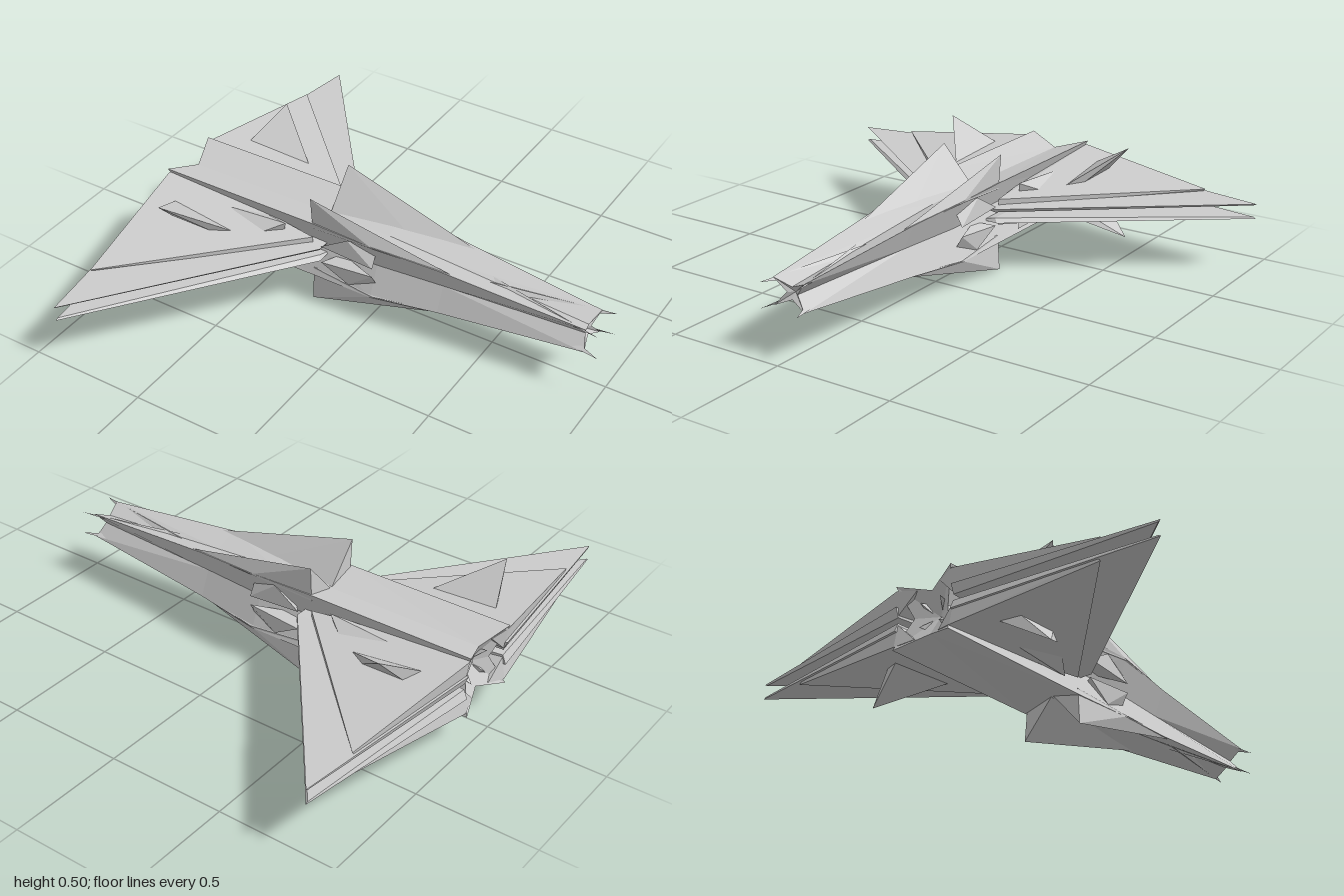
import * as THREE from 'three';
import { ConvexGeometry } from 'three/addons/geometries/ConvexGeometry.js';

const material = new THREE.MeshStandardMaterial({ color: 0xcccccc, flatShading: true, side: THREE.DoubleSide });

// Hull with a four-pointed star section, notched at both ends
function hullGeometry() {
  // x, tip half width, tip half height, roof valley height, side valley half width
  const stations = [
    [-0.99, 0.14, 0.131, 0.09, 0.085],
    [-0.27, 0.14, 0.131, 0.095, 0.09],
    [0.01, 0.145, 0.128, 0.09, 0.09],
    [0.3, 0.11, 0.105, 0.07, 0.065],
    [0.92, 0.07, 0.055, 0.025, 0.025],
  ];
  const rings = stations.map(([x, w, h, roof, side]) => [
    [x, roof, 0], [x, h, w], [x, 0, side], [x, -h, w],
    [x, -roof, 0], [x, -h, -w], [x, 0, -side], [x, h, -w],
  ]);
  // Pull the valley points inwards at the tail and nose so the corners become prongs
  for (let i = 0; i < 8; i += 2) {
    rings[0][i][0] = -0.94;
    rings[4][i][0] = 0.9;
  }
  const out = [];
  const tri = (a, b, c) => out.push(...a, ...b, ...c);
  for (let s = 0; s < 4; s++) {
    for (let i = 0; i < 8; i++) {
      const j = (i + 1) % 8;
      const [a, b, c, d] = [rings[s][i], rings[s][j], rings[s + 1][j], rings[s + 1][i]];
      // Split each quad along the ridge side alternately to keep mirror symmetry
      if (i % 2) { tri(a, b, d); tri(b, c, d); } else { tri(a, b, c); tri(a, c, d); }
    }
  }
  for (let i = 0; i < 8; i++) {
    const j = (i + 1) % 8;
    tri(rings[0][j], rings[0][i], [-0.89, 0, 0]);
    tri(rings[4][i], rings[4][j], [0.88, 0, 0]);
  }
  const g = new THREE.BufferGeometry();
  g.setAttribute('position', new THREE.Float32BufferAttribute(out, 3));
  g.computeVertexNormals();
  return g;
}

// Faceted parts of the upper left quarter, as corner points about the hull axis
const quarterParts = {
  wingBlade: [
    [-0.88, 0.032, 1], [-0.22, 0.03, 0.155], [-0.985, 0.05, 0.14], [-0.22, 0.028, 0.07],
    [-0.88, 0.025, 0.99], [-0.23, 0.012, 0.14], [-0.97, 0.012, 0.14],
  ],
  wingThickRoot: [
    [-0.985, 0.115, 0.14], [-0.27, 0.055, 0.13], [-0.9, 0.047, 0.76],
    [-0.97, 0.02, 0.14], [-0.27, 0.02, 0.13], [-0.9, 0.025, 0.74], [-0.96, 0.1, 0.06],
  ],
  winglet: [
    [-0.79, 0.2, 0.45], [-0.86, 0.09, 0.26], [-0.54, 0.05, 0.26],
    [-0.84, 0.04, 0.3], [-0.6, 0.03, 0.29],
  ],
  dorsalFin: [
    [-0.27, 0.25, 0.14], [-0.27, 0.09, 0], [-0.27, 0.1, 0.13],
    [0.36, 0.095, 0.095], [0.02, 0.122, 0.145], [0.1, 0.08, 0.04],
  ],
  sideSpike: [
    [-0.65, 0.085, 0.17], [-0.47, 0.055, 0.22], [-0.38, 0.1, 0.16],
    [-0.4, 0.03, 0.15], [-0.55, 0.06, 0.1],
  ],
  cheekPlate: [
    [-0.22, 0.04, 0.15], [-0.1, 0.11, 0.14], [0.02, 0.02, 0.145],
    [-0.16, 0.02, 0.08], [0.02, 0.1, 0.1],
  ],
  nosePiercer: [
    [0.98, 0.051, 0.083], [0.37, 0.068, -0.04], [0.4, 0.04, 0.01],
    [0.42, 0.045, -0.05], [0.88, 0.035, 0.05],
  ],
  exhaustSpike: [
    [-0.95, 0.05, 0.05], [-0.87, 0.06, 0.02], [-0.83, 0.01, 0],
    [-0.88, 0.02, 0.06], [-0.9, 0.01, 0.02],
  ],
};

export function createModel() {
  const model = new THREE.Group();
  model.name = 'spikedSpacecraft';
  const craft = new THREE.Group();
  craft.name = 'craft';
  craft.position.set(0.005, 0.25, 0);
  model.add(craft);

  const hull = new THREE.Mesh(hullGeometry(), material);
  hull.name = 'hull';
  craft.add(hull);

  // Mirror every faceted part up, down and to both sides
  for (const [name, points] of Object.entries(quarterParts)) {
    for (const up of [1, -1]) {
      for (const side of [1, -1]) {
        const corners = points.map(([x, y, z]) => new THREE.Vector3(x, y * up, z * side));
        const mesh = new THREE.Mesh(new ConvexGeometry(corners), material);
        mesh.name = `${name}${up > 0 ? 'Upper' : 'Lower'}${side > 0 ? 'Front' : 'Back'}`;
        craft.add(mesh);
      }
    }
  }
  return model;
}
